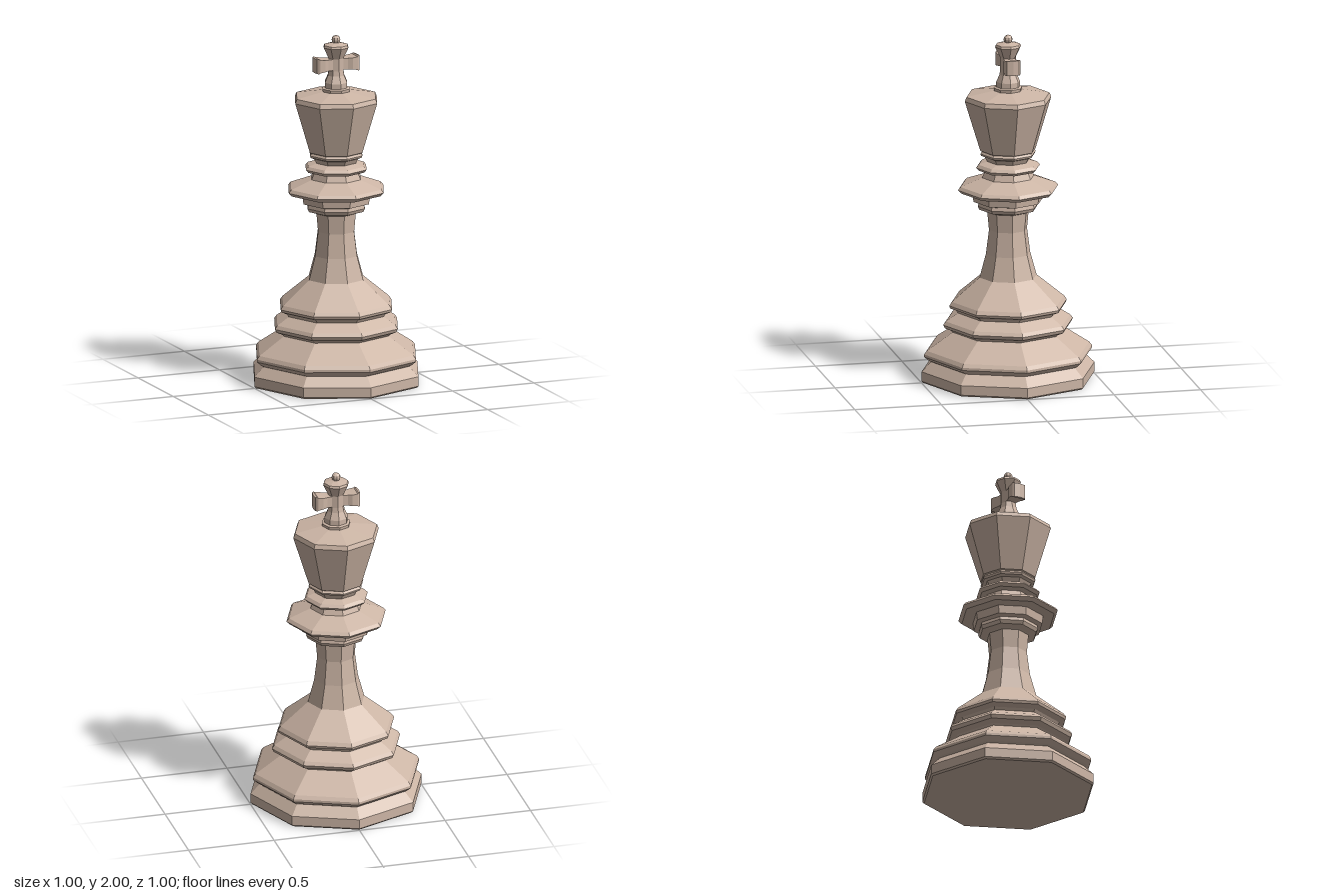
import * as THREE from 'three';

const material = new THREE.MeshStandardMaterial({ color: 0xcdb6a6, flatShading: true });

// Eight-sided turned part from [radius, height] pairs, listed bottom to top
function turned(name, profile) {
  const points = profile.map(([r, y]) => new THREE.Vector2(r, y));
  const mesh = new THREE.Mesh(new THREE.LatheGeometry(points, 8), material);
  mesh.name = name;
  return mesh;
}

// Flared arm of the cross: a box whose slices follow [x, half height, half depth]
function armGeometry() {
  const slices = [[0.02, 0.032, 0.03], [0.06, 0.032, 0.034], [0.085, 0.034, 0.045],
    [0.115, 0.038, 0.045], [0.121, 0.044, 0.042], [0.13, 0.042, 0.034]];
  const geometry = new THREE.BoxGeometry(1, 1, 1, slices.length - 1, 1, 2);
  const pos = geometry.attributes.position;
  for (let i = 0; i < pos.count; i++) {
    const k = Math.round((pos.getX(i) + 0.5) * (slices.length - 1));
    const [x, hy, hz] = slices[k];
    const z = pos.getZ(i);
    const bulge = k === slices.length - 1 && Math.abs(z) < 0.1 ? 0.005 : 0;
    pos.setXYZ(i, x + bulge, Math.sign(pos.getY(i)) * hy, z * 2 * hz);
  }
  geometry.computeVertexNormals();
  return geometry;
}

export function createModel() {
  const model = new THREE.Group();
  model.name = 'chessKing';

  // Stepped foot
  model.add(turned('base', [
    [0, 0], [0.49, 0], [0.5, 0.01], [0.5, 0.065], [0.445, 0.12], [0.46, 0.128],
    [0.485, 0.15], [0.485, 0.165], [0.47, 0.185], [0.32, 0.285], [0.33, 0.295],
    [0.365, 0.31], [0.375, 0.33], [0.36, 0.35], [0.29, 0.395], [0.3, 0.41],
    [0.335, 0.425], [0.34, 0.44], [0.325, 0.462],
  ]));

  // Waisted column
  model.add(turned('stem', [
    [0.325, 0.462], [0.165, 0.595], [0.128, 0.73], [0.11, 0.87], [0.12, 0.975],
  ]));

  // Collar discs and neck rings
  model.add(turned('collar', [
    [0.12, 0.975], [0.13, 0.98], [0.165, 0.99], [0.175, 1.01], [0.17, 1.03],
    [0.2, 1.038], [0.205, 1.085], [0.27, 1.09], [0.29, 1.11], [0.275, 1.128],
    [0.15, 1.175], [0.135, 1.21], [0.17, 1.218], [0.185, 1.235], [0.17, 1.252],
    [0.12, 1.268], [0.135, 1.295], [0.155, 1.303], [0.16, 1.315], [0.15, 1.327],
  ]));

  // Tapered head with a low roof
  model.add(turned('head', [
    [0.15, 1.327], [0.16, 1.332], [0.25, 1.625], [0.24, 1.65], [0.085, 1.678], [0, 1.68],
  ]));

  // Upright of the cross
  model.add(turned('crossUpright', [
    [0.08, 1.675], [0.083, 1.695], [0.068, 1.7], [0.068, 1.73], [0.05, 1.77],
    [0.045, 1.8], [0.045, 1.87], [0.075, 1.932], [0.07, 1.945], [0.02, 1.957], [0, 1.958],
  ]));

  // Mirrored arms of the cross
  const arm = armGeometry();
  for (const side of [1, -1]) {
    const mesh = new THREE.Mesh(arm, material);
    mesh.name = side > 0 ? 'leftArm' : 'rightArm';
    mesh.position.y = 1.836;
    mesh.rotation.y = side > 0 ? 0 : Math.PI;
    model.add(mesh);
  }

  // Ball on top
  const ball = new THREE.Mesh(new THREE.SphereGeometry(0.026, 8, 6), material);
  ball.name = 'topBall';
  ball.position.y = 1.974;
  model.add(ball);

  return model;
}
